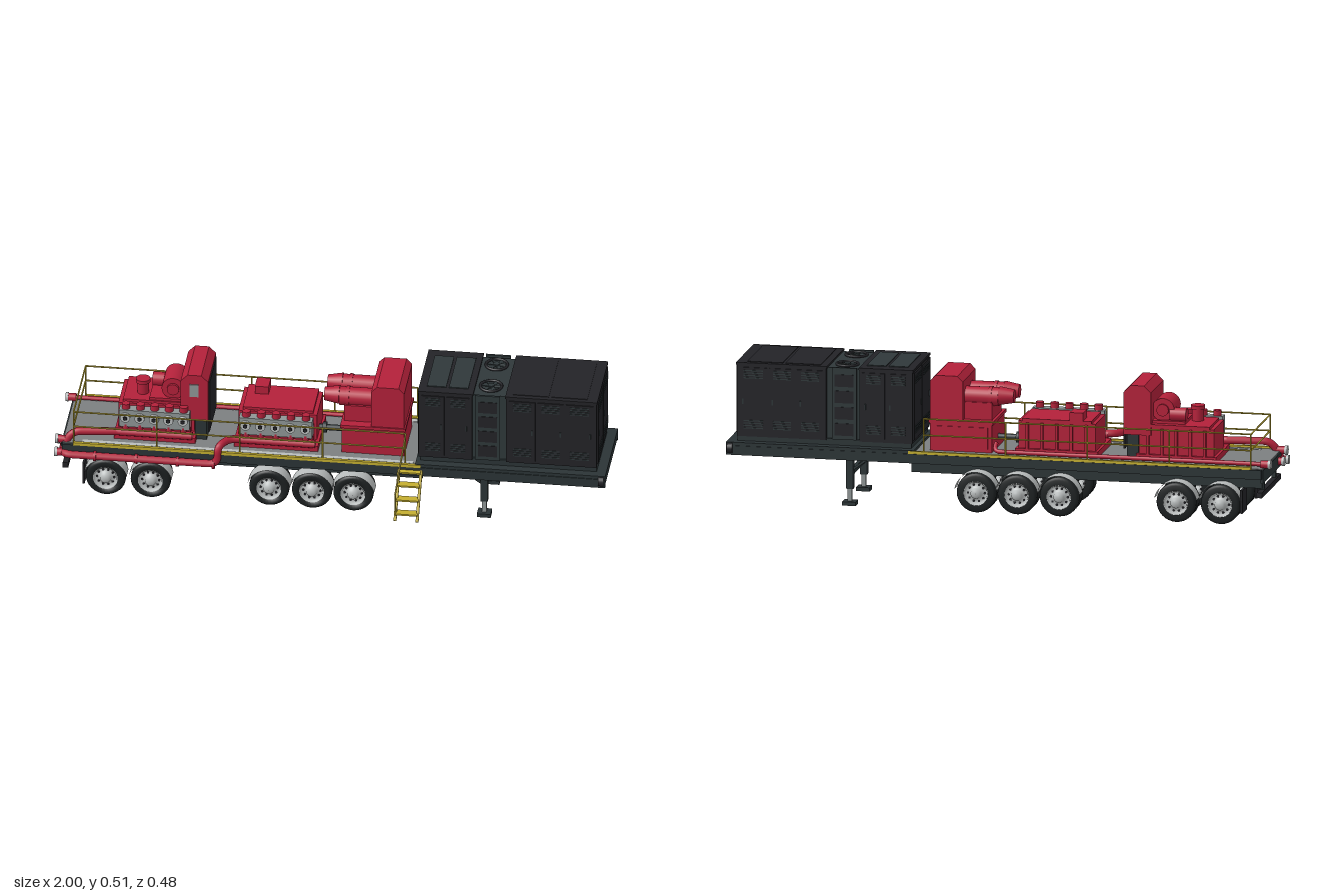
import * as THREE from 'three';

const RED = 0xb3213a, DARK = 0x2b3436, BLACK = 0x232327, PANEL = 0x2f383a, TYRE = 0x1c2021;
const YELLOW = 0xc4ae30, GREY = 0x7c7f80, LIGHT = 0xb9bdbd, STEEL = 0x8f9696;
const ZC = -0.057; // centre line of the trailer
const V = (x, y, z) => new THREE.Vector3(x, y, z);
const mats = {};
const mat = c => mats[c] ??= new THREE.MeshStandardMaterial({ color: c, side: THREE.DoubleSide });

export function createModel() {
  const root = new THREE.Group();
  let cur = root;
  const group = name => { cur = new THREE.Group(); cur.name = name; root.add(cur); return cur; };
  const add = (name, geo, color) => {
    const m = new THREE.Mesh(geo, mat(color));
    m.name = name; cur.add(m); return m;
  };
  const box = (name, c, x0, x1, y0, y1, z0, z1) => {
    const m = add(name, new THREE.BoxGeometry(x1 - x0, y1 - y0, z1 - z0), c);
    m.position.set((x0 + x1) / 2, (y0 + y1) / 2, (z0 + z1) / 2); return m;
  };
  const cyl = (name, c, r, len, axis, x, y, z, seg = 20, r2 = r) => {
    const m = add(name, new THREE.CylinderGeometry(r2, r, len, seg), c);
    if (axis === 'x') m.rotation.z = -Math.PI / 2;
    if (axis === 'z') m.rotation.x = Math.PI / 2;
    m.position.set(x, y, z); return m;
  };
  const rod = (name, c, a, b, r, seg = 6) => {
    const d = b.clone().sub(a);
    const m = add(name, new THREE.CylinderGeometry(r, r, d.length(), seg), c);
    m.position.copy(a).addScaledVector(d, 0.5);
    m.quaternion.setFromUnitVectors(V(0, 1, 0), d.normalize()); return m;
  };
  // Pipe with straight runs and rounded elbows
  const pipe = (name, c, pts, r, bend = 0.035) => {
    const path = new THREE.CurvePath();
    let last = pts[0];
    for (let i = 1; i < pts.length - 1; i++) {
      const p = pts[i], t = Math.min(bend, p.distanceTo(pts[i - 1]) / 2, p.distanceTo(pts[i + 1]) / 2);
      const a = p.clone().add(pts[i - 1].clone().sub(p).setLength(t));
      const b = p.clone().add(pts[i + 1].clone().sub(p).setLength(t));
      path.add(new THREE.LineCurve3(last, a));
      path.add(new THREE.QuadraticBezierCurve3(a, p, b));
      last = b;
    }
    path.add(new THREE.LineCurve3(last, pts.at(-1)));
    return add(name, new THREE.TubeGeometry(path, 90, r, 10), c);
  };
  // Side outline (x, y) extruded across z
  const prism = (name, c, pts, z0, z1) => {
    const s = new THREE.Shape(pts.map(p => new THREE.Vector2(...p)));
    const m = add(name, new THREE.ExtrudeGeometry(s, { depth: z1 - z0, bevelEnabled: false }), c);
    m.position.z = z0; return m;
  };
  const tower = (name, x0, x1, y0, y1, z0, z1, k = 0.025) => prism(name, RED,
    [[x0, y0], [x1, y0], [x1, y1 - k], [x1 - k, y1], [x0 + k, y1], [x0, y1 - k]], z0, z1);

  // Chassis
  group('chassis');
  box('mainDeck', GREY, -0.97, 0.32, 0.205, 0.213, -0.225, 0.11);
  box('upperDeck', DARK, 0.31, 1, 0.205, 0.222, -0.232, 0.118);
  for (const s of [-1, 1]) {
    const z = ZC + s * 0.105, e = ZC + s * 0.172;
    box('mainBeam', DARK, -0.96, 0.33, 0.13, 0.205, z - 0.01, z + 0.01);
    box('neckBeam', DARK, 0.33, 0.98, 0.178, 0.206, z - 0.01, z + 0.01);
    box('sideRail', DARK, -0.97, 1, 0.176, 0.21, e - 0.006, e + 0.006);
    box('yellowEdge', YELLOW, -0.93, 0.33, 0.209, 0.22, e - 0.004, e + 0.007);
    box('deckTrim', LIGHT, -0.9, 0.3, 0.211, 0.2145, ZC + s * 0.15 - 0.008, ZC + s * 0.15 + 0.008);
    cyl('frontMarker', BLACK, 0.019, 0.02, 'x', 0.985, 0.2, e - s * 0.002);
  }
  for (let i = 0; i < 28; i++) {
    const x = -0.94 + i * 0.0705;
    box('crossMember', DARK, x - 0.008, x + 0.008, 0.18, 0.206, -0.222, 0.108);
  }
  box('frontBeam', DARK, 0.985, 1, 0.188, 0.222, -0.225, 0.11);
  cyl('frontRoller', STEEL, 0.008, 0.175, 'z', 0.93, 0.178, ZC);
  cyl('kingpin', DARK, 0.008, 0.035, 'y', 0.88, 0.165, ZC);
  box('rearBumper', BLACK, -0.97, -0.95, 0.105, 0.125, -0.22, 0.105);
  box('rearPlate', DARK, -0.975, -0.965, 0.16, 0.208, -0.225, 0.11);
  for (const s of [-1, 1]) {
    box('bumperBracket', DARK, -0.965, -0.95, 0.12, 0.18, ZC + s * 0.1 - 0.008, ZC + s * 0.1 + 0.008);
    box('mudFlap', BLACK, -0.898, -0.89, 0.045, 0.13, ZC + s * 0.125 - 0.04, ZC + s * 0.125 + 0.04);
  }

  // Wheels, axles and mudguards
  const half = 0.02;
  const tyreGeo = new THREE.LatheGeometry([[0.044, -half], [0.062, -half], [0.069, -0.016], [0.0725, -0.009],
    [0.0725, 0.009], [0.069, 0.016], [0.062, half], [0.044, half], [0.042, 0], [0.044, -half]].map(p => new THREE.Vector2(...p)), 32);
  const rimGeo = new THREE.LatheGeometry([[0.045, 0.021], [0.041, 0.019], [0.038, 0.008], [0.022, 0.012], [0.019, 0.024],
    [0.011, 0.031], [0, 0.031]].map(p => new THREE.Vector2(...p)), 28);
  for (const x of [-0.815, -0.652, -0.222, -0.067, 0.083]) {
    group('axleSet');
    cyl('axle', DARK, 0.012, 0.27, 'z', x, 0.073, ZC);
    const diff = add('axleHousing', new THREE.SphereGeometry(0.027, 18, 12), DARK);
    diff.position.set(x, 0.073, ZC); diff.scale.set(0.75, 0.75, 1);
    box('suspensionBeam', DARK, x - 0.012, x + 0.012, 0.105, 0.125, ZC - 0.105, ZC + 0.105);
    for (const s of [-1, 1]) {
      box('hanger', DARK, x - 0.02, x + 0.02, 0.08, 0.14, ZC + s * 0.088 - 0.008, ZC + s * 0.088 + 0.008);
      for (const off of [0.098, 0.143]) {
        const t = add('tyre', tyreGeo, TYRE);
        t.rotation.x = Math.PI / 2; t.position.set(x, 0.073, ZC + s * off);
      }
      const rim = add('rim', rimGeo, LIGHT);
      rim.rotation.x = s * Math.PI / 2; rim.position.set(x, 0.073, ZC + s * 0.143);
      for (let i = 0; i < 10; i++) {
        const a = i * Math.PI / 5;
        cyl('rimHole', BLACK, 0.0045, 0.004, 'z', x + 0.031 * Math.cos(a), 0.073 + 0.031 * Math.sin(a), ZC + s * 0.1535, 8);
      }
      const f = add('mudguard', new THREE.CylinderGeometry(0.079, 0.079, 0.055, 20, 1, true, Math.PI * 0.56, Math.PI * 0.88), LIGHT);
      f.rotation.x = Math.PI / 2; f.position.set(x, 0.073, ZC + s * 0.143);
    }
  }

  // Landing legs
  group('landingGear');
  for (const s of [-1, 1]) {
    const z = ZC + s * 0.12;
    box('legOuter', DARK, 0.542, 0.568, 0.06, 0.21, z - 0.011, z + 0.011);
    box('legInner', STEEL, 0.547, 0.563, 0.01, 0.07, z - 0.007, z + 0.007);
    box('foot', DARK, 0.53, 0.58, 0, 0.014, z - 0.022, z + 0.022);
    rod('legBrace', DARK, V(0.47, 0.185, z), V(0.552, 0.125, z), 0.005);
  }
  box('legCrossBar', DARK, 0.548, 0.562, 0.105, 0.125, ZC - 0.12, ZC + 0.12);

  // Guard rails
  group('guardRail');
  for (const z of [-0.225, 0.108]) {
    for (const y of [0.28, 0.34]) rod('railBar', YELLOW, V(-0.93, y, z), V(0.275, y, z), 0.003);
    for (let i = 0; i < 5; i++) rod('railPost', YELLOW, V(-0.93 + i * 0.301, 0.21, z), V(-0.93 + i * 0.301, 0.34, z), 0.003);
  }
  for (const y of [0.28, 0.34]) rod('rearRailBar', YELLOW, V(-0.93, y, -0.225), V(-0.93, y, 0.108), 0.003);

  // Access steps
  group('steps');
  for (const x of [0.252, 0.332]) {
    rod('stringer', YELLOW, V(x, 0.2, 0.115), V(x, 0.045, 0.228), 0.006);
  }
  rod('handRail', YELLOW, V(0.275, 0.34, 0.108), V(0.252, 0.152, 0.228), 0.003);
  rod('handRailPost', YELLOW, V(0.252, 0.152, 0.228), V(0.252, 0.07, 0.212), 0.003);
  for (const [y, z] of [[0.195, 0.125], [0.155, 0.153], [0.112, 0.182], [0.07, 0.21]])
    box('tread', YELLOW, 0.252, 0.332, y - 0.003, y + 0.003, z - 0.016, z + 0.016);

  // Two plunger pumps with steel fluid ends
  const pump = (name, x0, x1) => {
    group(name);
    const w = x1 - x0;
    box('skid', RED, x0 - 0.01, x1 + 0.01, 0.213, 0.235, -0.17, 0.06);
    box('powerEnd', RED, x0, x1, 0.235, 0.335, -0.16, 0.01);
    box('topCover', RED, x0 + 0.015, x1 - 0.015, 0.335, 0.345, -0.165, 0);
    box('crossheadFrame', RED, x0 + 0.01, x1 - 0.01, 0.24, 0.3, 0.01, 0.045);
    box('fluidEnd', STEEL, x0 + 0.01, x1 - 0.01, 0.272, 0.34, 0.035, 0.072);
    pipe('suctionManifold', RED, [V(x0, 0.247, 0.065), V(x1, 0.247, 0.065)], 0.015);
    for (let i = 0; i < 5; i++) {
      const x = x0 + w * (0.12 + i * 0.19);
      cyl('valveCover', LIGHT, 0.018, 0.012, 'z', x, 0.312, 0.076);
      cyl('valveNut', BLACK, 0.008, 0.008, 'z', x, 0.312, 0.083, 6);
      cyl('valveCap', RED, 0.015, 0.02, 'y', x, 0.35, 0.053);
      cyl('suctionRiser', RED, 0.011, 0.035, 'y', x, 0.263, 0.062, 12);
      box('rib', RED, x - 0.005, x + 0.005, 0.235, 0.33, -0.172, -0.16);
    }
  };
  pump('rearPump', -0.78, -0.505);
  box('topPlatform', RED, -0.67, -0.53, 0.345, 0.355, -0.14, -0.005);
  cyl('airPot', RED, 0.021, 0.05, 'y', -0.7, 0.368, -0.06);
  cyl('airPotCap', RED, 0.026, 0.014, 'y', -0.7, 0.395, -0.06);
  cyl('blowerDrum', RED, 0.042, 0.11, 'z', -0.585, 0.392, -0.07, 28);
  cyl('blowerHub', RED, 0.022, 0.13, 'z', -0.585, 0.392, -0.07);
  cyl('blowerPort', RED, 0.025, 0.06, 'x', -0.64, 0.375, -0.11);
  tower('coolerHousing', -0.55, -0.45, 0.305, 0.487, -0.17, 0.045);
  box('coolerLeg', DARK, -0.5, -0.458, 0.213, 0.31, -0.15, 0.025);
  box('coolerGrille', BLACK, -0.452, -0.446, 0.25, 0.455, -0.155, 0.03);
  box('coolerPanel', STEEL, -0.517, -0.485, 0.4, 0.45, 0.044, 0.049);
  pump('frontPump', -0.345, -0.06);
  box('gearbox', RED, -0.3, -0.25, 0.345, 0.375, -0.165, -0.1);
  cyl('driveShaft', DARK, 0.011, 0.12, 'x', -0.005, 0.25, ZC);
  cyl('shaftFlange', DARK, 0.02, 0.015, 'x', -0.04, 0.25, ZC);

  // Drive engine
  group('driveEngine');
  box('engineBase', RED, 0.035, 0.262, 0.213, 0.32, -0.17, 0.05);
  box('baseLip', RED, 0.03, 0.267, 0.315, 0.327, -0.175, 0.055);
  for (const x of [0.05, 0.15]) box('basePanel', RED, x, x + 0.09, 0.225, 0.305, -0.174, 0.054);
  tower('engineHousing', 0.142, 0.262, 0.325, 0.49, -0.17, 0.05, 0.02);
  box('engineBlock', RED, 0.04, 0.145, 0.325, 0.39, -0.14, 0.02);
  for (const z of [-0.108, -0.018]) {
    cyl('intakeDrum', RED, 0.034, 0.13, 'x', 0.085, 0.408, z, 24);
    cyl('intakeCone', RED, 0.024, 0.055, 'x', -0.008, 0.412, z, 24, 0.034);
    cyl('intakeBand', RED, 0.037, 0.012, 'x', 0.05, 0.408, z, 24);
    cyl('intakeFoot', RED, 0.02, 0.06, 'y', 0.085, 0.36, z);
  }

  // Pipework
  group('pipework');
  pipe('suctionPipe', RED, [V(-0.97, 0.185, 0.04), V(-0.97, 0.175, 0.13), V(-0.405, 0.175, 0.13), V(-0.405, 0.25, 0.13),
    V(-0.37, 0.25, 0.075), V(-0.33, 0.25, 0.068)], 0.014);
  pipe('rearSuctionPipe', RED, [V(-0.77, 0.247, 0.065), V(-0.94, 0.247, 0.085), V(-0.97, 0.185, 0.1)], 0.014);
  pipe('dischargePipe', RED, [V(-0.99, 0.225, -0.195), V(-0.94, 0.225, -0.195), V(0.02, 0.225, -0.195), V(0.02, 0.25, -0.165)], 0.008);
  for (const [y, z] of [[0.185, 0.04], [0.175, 0.115], [0.215, 0.09], [0.225, -0.195]]) {
    cyl('pipeEnd', RED, 0.014, 0.03, 'x', -0.975, y, z);
    cyl('pipeCap', LIGHT, 0.017, 0.01, 'x', -0.993, y, z);
  }
  for (const x of [-0.85, -0.7, -0.55, -0.42]) cyl('pipeFlange', RED, 0.018, 0.01, 'x', x, 0.175, 0.13);

  // Generator enclosure
  group('enclosure');
  const Z0 = -0.205, Z1 = 0.091;
  box('enclosureSkid', DARK, 0.325, 0.965, 0.222, 0.245, -0.2, 0.086);
  box('rearSection', BLACK, 0.32, 0.514, 0.24, 0.505, Z0, Z1);
  box('coolingSection', PANEL, 0.514, 0.637, 0.24, 0.505, Z0 + 0.012, Z1 - 0.012);
  box('frontSection', BLACK, 0.637, 0.965, 0.24, 0.505, Z0, Z1);
  box('rearRoof', BLACK, 0.317, 0.517, 0.504, 0.512, Z0 - 0.003, Z1 + 0.003);
  box('frontRoof', BLACK, 0.634, 0.968, 0.504, 0.512, Z0 - 0.003, Z1 + 0.003);
  for (const x of [0.345, 0.425]) box('roofHatch', PANEL, x, x + 0.07, 0.51, 0.515, -0.165, 0.055);
  for (const x of [0.66, 0.8]) box('roofPanel', BLACK, x, x + 0.13, 0.511, 0.514, -0.19, 0.076);
  for (const z of [-0.137, 0.018]) {
    const ring = add('fanRing', new THREE.TorusGeometry(0.039, 0.005, 8, 28), BLACK);
    ring.rotation.x = Math.PI / 2; ring.position.set(0.573, 0.51, z);
    cyl('fanHub', PANEL, 0.012, 0.012, 'y', 0.573, 0.509, z);
    for (let i = 0; i < 6; i++) {
      const b = box('fanBlade', PANEL, 0.555, 0.591, 0.507, 0.509, z - 0.006, z + 0.006);
      const a = i * Math.PI / 3;
      b.position.set(0.573 + 0.022 * Math.cos(a), 0.509, z - 0.022 * Math.sin(a));
      b.rotation.set(0.35, a, 0, 'YXZ');
    }
  }
  for (const s of [-1, 1]) {
    const z = s > 0 ? Z1 : Z0;
    // Side doors with louvres and handles
    for (const [x, w] of [[0.33, 0.083], [0.421, 0.083], [0.648, 0.095], [0.751, 0.095], [0.854, 0.1]]) {
      box('sideDoor', BLACK, x, x + w, 0.252, 0.495, z - 0.004, z + 0.004);
      box('doorHandle', DARK, x + w - 0.014, x + w - 0.009, 0.36, 0.38, z - 0.007, z + 0.007);
      for (let i = 0; i < 4; i++) for (const y of [0.27, 0.455])
        box('louvre', PANEL, x + 0.015, x + w - 0.015, y + i * 0.009, y + i * 0.009 + 0.004, z - 0.006, z + 0.006);
    }
    box('coolingPanel', PANEL, 0.525, 0.615, 0.245, 0.51, z - 0.004, z + 0.004);
    for (let i = 0; i < 4; i++)
      box('coolingGrille', BLACK, 0.535, 0.605, 0.26 + i * 0.06, 0.305 + i * 0.06, z - 0.006, z + 0.006);
    // End doors
    const dz = ZC + s * 0.07;
    for (const x of [0.319, 0.966]) {
      box('endDoor', BLACK, x - 0.004, x + 0.004, 0.252, 0.498, dz - 0.067, dz + 0.067);
      box('endHandle', DARK, x - 0.007, x + 0.007, 0.36, 0.38, dz + 0.045, dz + 0.049);
      for (let i = 0; i < 4; i++) for (const y of [0.275, 0.458])
        box('endLouvre', PANEL, x - 0.006, x + 0.006, y + i * 0.008, y + i * 0.008 + 0.004, dz - 0.052, dz + 0.052);
    }
  }
  return root;
}
